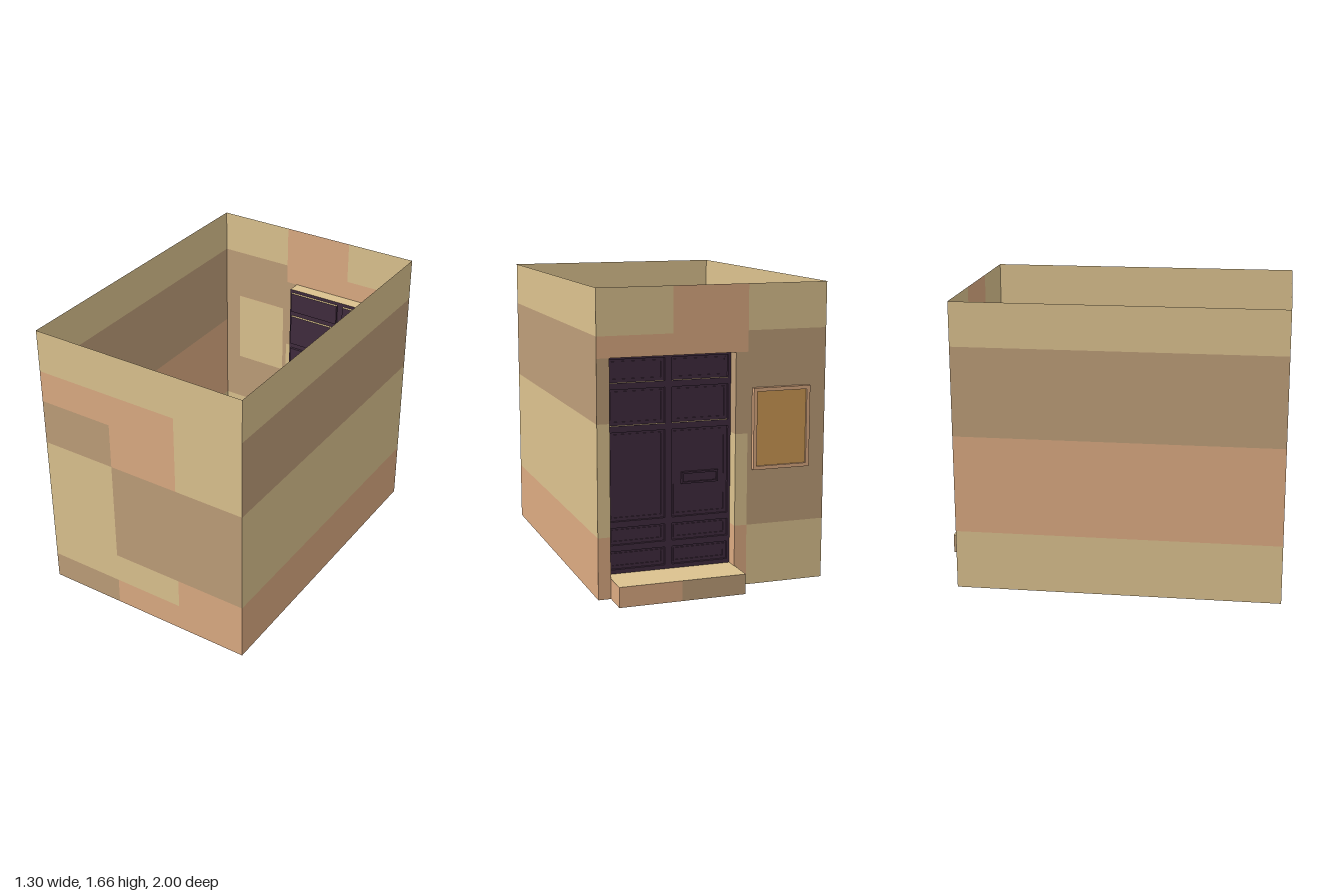
import * as THREE from 'three';

const COLORS = { tan: 0xdcc28f, brown: 0xbe9e79, orange: 0xdcab82, door: 0x402b3e, board: 0xcf9a55 };
const mats = {};
for (const key in COLORS) {
  mats[key] = new THREE.MeshStandardMaterial({ color: COLORS[key], side: THREE.DoubleSide });
}

const X = 0.65, H = 1.66, BACK = -0.845, FRONT = 1;
const DOOR = { x0: -0.125, x1: 0.58, y0: 0.11, y1: 1.295, z: -0.77, deep: -0.755 };

// Flat patch across a..b and c..d. Plane 'z' spans x,y; 'x' spans z,y; 'y' spans x,z.
function patch(parent, name, color, plane, at, a, b, c, d) {
  const geo = new THREE.PlaneGeometry(b - a, d - c);
  const u = (a + b) / 2, v = (c + d) / 2;
  if (plane === 'x') geo.rotateY(Math.PI / 2).translate(at, v, u);
  else if (plane === 'y') geo.rotateX(-Math.PI / 2).translate(u, at, v);
  else geo.translate(u, v, at);
  const mesh = new THREE.Mesh(geo, mats[color]);
  mesh.name = name;
  parent.add(mesh);
}

function part(parent, name) {
  const g = new THREE.Group();
  g.name = name;
  parent.add(g);
  return g;
}

function tracedRect(target, x0, x1, y0, y1) {
  return target.moveTo(x0, y0).lineTo(x1, y0).lineTo(x1, y1).lineTo(x0, y1).closePath();
}

// Rectangular frame with a border, extruded from z0 to z1
function frame(parent, name, color, x0, x1, y0, y1, border, z0, z1) {
  const shape = tracedRect(new THREE.Shape(), x0, x1, y0, y1);
  shape.holes.push(tracedRect(new THREE.Path(), x0 + border, x1 - border, y0 + border, y1 - border));
  const geo = new THREE.ExtrudeGeometry(shape, { depth: z1 - z0, bevelEnabled: false }).translate(0, 0, z0);
  const mesh = new THREE.Mesh(geo, mats[color]);
  mesh.name = name;
  parent.add(mesh);
}

function buildWalls(root) {
  // Front wall colour blocks: colour, x0, x1, y0, y1
  const front = part(root, 'frontWall');
  [
    ['tan', -X, X, 1.41, H], ['tan', 0.23, X, 0.95, 1.41],
    ['orange', -X, -0.195, 1.22, 1.41], ['orange', -0.195, 0.23, 0.95, 1.41],
    ['brown', -X, -0.195, 0.95, 1.22], ['brown', -0.195, X, 0.34, 0.95],
    ['tan', -X, -0.195, 0.16, 0.95], ['tan', -0.195, 0.23, 0.16, 0.34],
    ['brown', -X, -0.195, 0, 0.16], ['orange', -0.195, 0.23, 0, 0.16],
    ['orange', 0.23, X, 0, 0.34],
  ].forEach(([c, ...r]) => patch(front, 'frontBlock', c, 'z', FRONT, ...r));

  // Back wall blocks around the doorway
  const back = part(root, 'backWall');
  const { x0, x1, y0, y1 } = DOOR;
  [
    ['tan', 0.23, X, 1.41, H], ['orange', 0.23, X, y1, 1.41],
    ['orange', -0.195, 0.23, y1, H],
    ['tan', -X, -0.195, 1.41, H], ['brown', -X, -0.195, 0.34, 1.41], ['tan', -X, -0.195, 0, 0.34],
    ['brown', x1, X, 0.95, y1], ['tan', x1, X, 0.34, 0.95], ['orange', x1, X, 0, 0.34],
    ['brown', -0.195, x0, 0.85, y1], ['tan', -0.195, x0, 0.34, 0.85], ['orange', -0.195, x0, 0, 0.34],
    ['orange', x0, x1, 0, y0],
  ].forEach(([c, ...r]) => patch(back, 'backBlock', c, 'z', BACK, ...r));

  // Side walls in horizontal bands
  const left = part(root, 'leftWall');
  [['orange', 0, 0.34], ['tan', 0.34, 0.95], ['brown', 0.95, 1.41], ['tan', 1.41, H]]
    .forEach(([c, a, b]) => patch(left, 'leftBand', c, 'x', X, BACK, FRONT, a, b));
  const right = part(root, 'rightWall');
  [['tan', 0, 0.34], ['orange', 0.34, 0.9], ['brown', 0.9, 1.41], ['tan', 1.41, H]]
    .forEach(([c, a, b]) => patch(right, 'rightBand', c, 'x', -X, BACK, FRONT, a, b));

  const floor = part(root, 'floor');
  patch(floor, 'floorNarrow', 'tan', 'y', 0, -X, -0.195, BACK, FRONT);
  patch(floor, 'floorWide', 'brown', 'y', 0, -0.195, X, BACK, FRONT);
}

function buildDoor(root) {
  const { x0, x1, y0, y1, z, deep } = DOOR;
  // Recess: soffit and jambs
  const recess = part(root, 'doorRecess');
  patch(recess, 'soffit', 'tan', 'y', y1, x0, x1, BACK, z);
  [x0, x1].forEach((x) => {
    patch(recess, 'jambTop', 'brown', 'x', x, BACK, z, 0.85, y1);
    patch(recess, 'jambMiddle', 'tan', 'x', x, BACK, z, 0.34, 0.85);
    patch(recess, 'jambBottom', 'orange', 'x', x, BACK, z, y0, 0.34);
  });

  // Door leaf with sunken panels
  const door = part(root, 'door');
  const leaf = tracedRect(new THREE.Shape(), x0, x1, y0, y1);
  const columns = [[-0.11, 0.21], [0.25, 0.565]];
  const rows = [[1.15, 1.275], [0.92, 1.115], [0.4, 0.885], [0.27, 0.365], [0.135, 0.235]];
  for (const [a, b] of columns) {
    rows.forEach(([c, d], i) => {
      leaf.holes.push(tracedRect(new THREE.Path(), a, b, c, d));
      const panel = part(door, 'doorPanel');
      const rim = i < 2 ? 'tan' : 'door';
      patch(panel, 'panelFace', 'door', 'z', deep, a, b, c, d);
      [c, d].forEach((y) => patch(panel, 'panelRim', rim, 'y', y, a, b, z, deep));
      [a, b].forEach((x) => patch(panel, 'panelSide', 'door', 'x', x, z, deep, c, d));
      frame(panel, 'panelMoulding', 'door', a + 0.012, b - 0.012, c + 0.012, d - 0.012, 0.008, deep - 0.005, deep);
    });
  }
  const leafMesh = new THREE.Mesh(new THREE.ShapeGeometry(leaf).translate(0, 0, z), mats.door);
  leafMesh.name = 'doorLeaf';
  door.add(leafMesh);

  // Letter slot on the tall panel
  frame(door, 'letterSlotFrame', 'door', -0.055, 0.155, 0.58, 0.645, 0.01, deep - 0.018, deep);
  patch(door, 'letterSlotFlap', 'door', 'z', deep - 0.008, -0.045, 0.145, 0.59, 0.635);
}

function buildStep(root) {
  const step = part(root, 'doorStep');
  const x0 = -0.13, x1 = 0.58, top = 0.112, z0 = -1, z1 = DOOR.z;
  patch(step, 'stepTop', 'tan', 'y', top, x0, x1, z0, z1);
  patch(step, 'stepUnderside', 'brown', 'y', 0, x0, x1, z0, BACK);
  patch(step, 'stepFaceLeft', 'orange', 'z', z0, 0.23, x1, 0, top);
  patch(step, 'stepFaceRight', 'brown', 'z', z0, x0, 0.23, 0, top);
  patch(step, 'stepInside', 'orange', 'z', z1, x0, x1, 0, top);
  patch(step, 'stepLeftEnd', 'orange', 'x', x1, z0, z1, 0, top);
  patch(step, 'stepRightEnd', 'brown', 'x', x0, z0, z1, 0, top);
}

function buildNoticeBoard(root) {
  const board = part(root, 'noticeBoard');
  frame(board, 'boardFrame', 'orange', -0.55, -0.22, 0.65, 1.1, 0.02, -0.872, BACK);
  patch(board, 'boardPanel', 'board', 'z', -0.86, -0.53, -0.24, 0.67, 1.08);
  patch(board, 'boardBacking', 'tan', 'z', BACK + 0.002, -0.55, -0.22, 0.65, 1.1);
}

export function createModel() {
  const root = new THREE.Group();
  root.name = 'openTopBuildingWithDoor';
  buildWalls(root);
  buildDoor(root);
  buildStep(root);
  buildNoticeBoard(root);
  return root;
}
